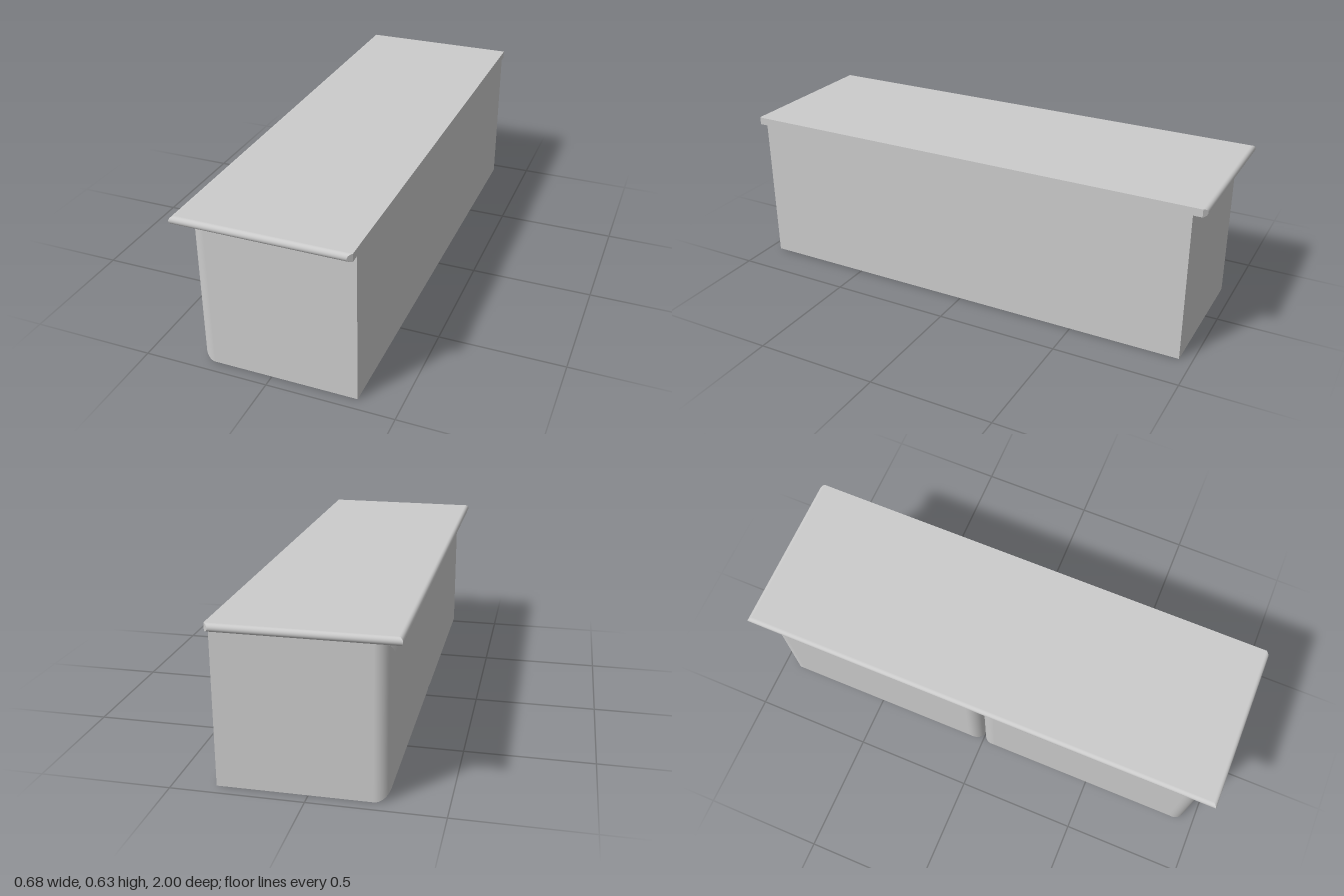
import * as THREE from 'three';

const material = new THREE.MeshStandardMaterial({ color: 0xcccccc });

// Solid through a stack of rings (counter-clockwise seen from the last ring);
// each side is smooth along the stack and mitred sharply against its neighbours.
function loft(rings) {
  const pos = [], index = [];
  const n = rings[0].length;
  for (let k = 0; k < n; k++) {
    const base = pos.length / 3;
    rings.forEach((ring, i) => {
      pos.push(...ring[k], ...ring[(k + 1) % n]);
      if (i === 0) return;
      const a = base + 2 * (i - 1);
      index.push(a, a + 1, a + 3, a, a + 3, a + 2);
    });
  }
  const cap = (ring) => {
    const base = pos.length / 3;
    ring.forEach((p) => pos.push(...p));
    for (let k = 1; k < n - 1; k++) index.push(base, base + k, base + k + 1);
  };
  cap([...rings[0]].reverse());
  cap(rings[rings.length - 1]);
  const g = new THREE.BufferGeometry();
  g.setAttribute('position', new THREE.Float32BufferAttribute(pos, 3));
  g.setIndex(index);
  g.computeVertexNormals();
  return g;
}

// Cabinet box: flat at +x, all four edges of its -x face rounded over
function cabinetGeometry(z0, z1) {
  const h = 0.604, r = 0.06, steps = 12;
  const ring = (x, i) => [
    [x, i, z0 + i], [x, i, z1 - i], [x, h - i, z1 - i], [x, h - i, z0 + i],
  ];
  const rings = [ring(0.34, 0)];
  for (let s = 0; s <= steps; s++) {
    const t = (s / steps) * Math.PI / 2;
    rings.push(ring(-0.235 - r * Math.sin(t), r * (1 - Math.cos(t))));
  }
  return loft(rings);
}

// Worktop: half-round nose on three sides, flat along +x with mitred nose ends
function worktopGeometry() {
  const y = 0.6195, r = 0.0155, x1 = 0.34, x0 = -x1 + r, z = 1 - r, steps = 16;
  const rings = [];
  for (let s = 0; s <= steps; s++) {
    const t = (s / steps) * Math.PI;
    const p = r * Math.sin(t), h = y - r * Math.cos(t);
    rings.push([
      [x1, h, -z], [x1 - p, h, -z - p], [x0 - p, h, -z - p],
      [x0 - p, h, z + p], [x1 - p, h, z + p], [x1, h, z],
    ]);
  }
  return loft(rings);
}

export function createModel() {
  const group = new THREE.Group();
  group.name = 'counter';
  const add = (name, geometry) => {
    const mesh = new THREE.Mesh(geometry, material);
    mesh.name = name;
    group.add(mesh);
  };
  add('frontCabinet', cabinetGeometry(0, 0.95));
  add('backCabinet', cabinetGeometry(-0.95, 0));
  add('worktop', worktopGeometry());
  return group;
}
